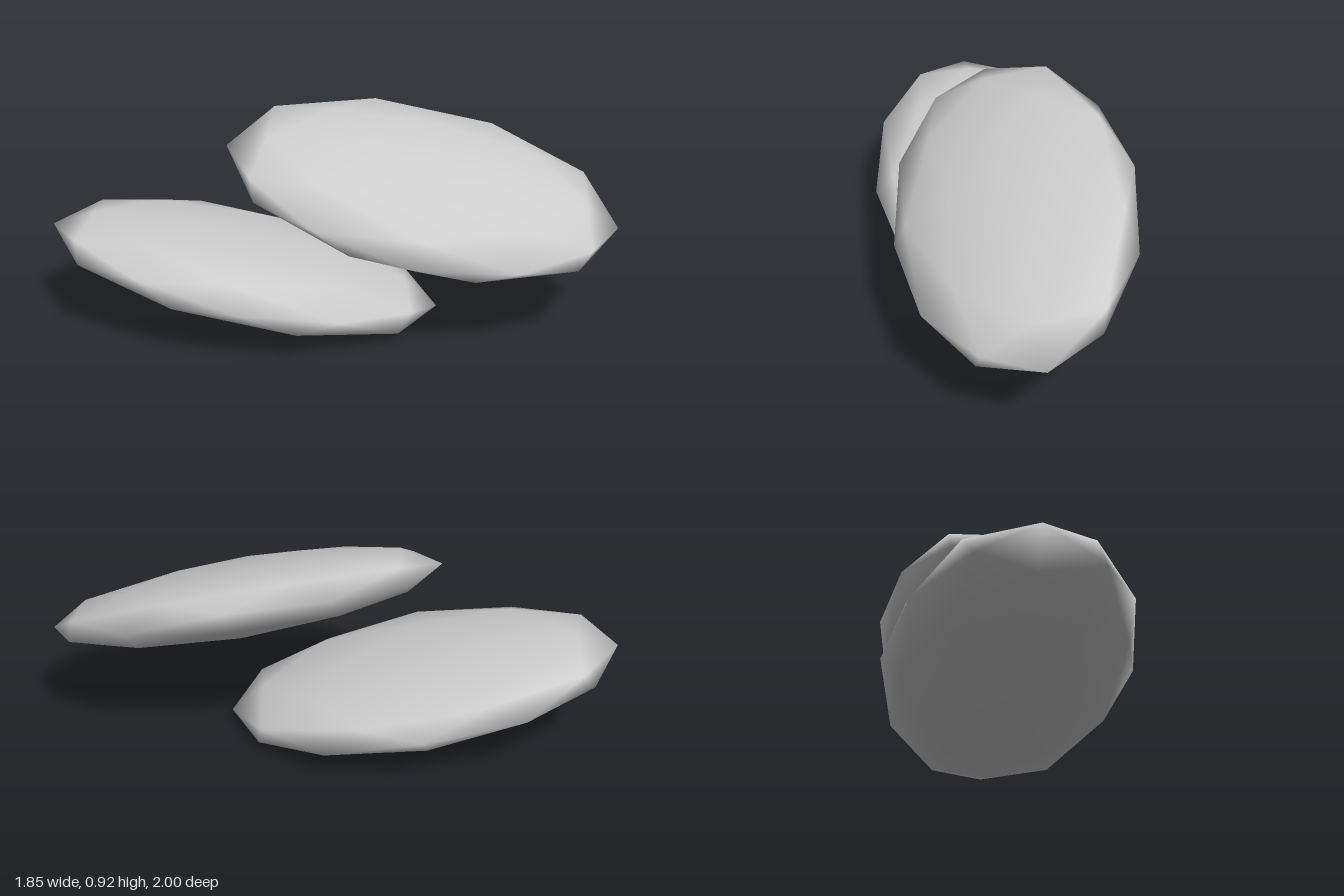
import * as THREE from 'three';

const stone = new THREE.MeshStandardMaterial({ color: 0xcccccc });
stone.name = 'palegrey';

// Half sizes along the long, middle and thin axes
const SIZE = [0.875, 0.528, 0.165];

// A smooth, low-poly flattened ellipsoid, given its long axis and its flat face's normal
function pebble(name, centre, longAxis, faceNormal) {
  const geometry = new THREE.IcosahedronGeometry(1, 1);
  geometry.rotateX(-Math.atan((1 + Math.sqrt(5)) / 2)); // stand it on a corner

  const long = new THREE.Vector3(...longAxis).normalize();
  const middle = new THREE.Vector3(...faceNormal).cross(long).normalize();
  const thin = new THREE.Vector3().crossVectors(long, middle);

  const placement = new THREE.Matrix4()
    .makeBasis(long.negate(), middle, thin.negate())
    .scale(new THREE.Vector3(...SIZE))
    .setPosition(...centre);
  geometry.applyMatrix4(placement); // carries the smooth normals along

  const mesh = new THREE.Mesh(geometry, stone);
  mesh.name = name;
  return mesh;
}

export function createModel() {
  const model = new THREE.Group();
  model.name = 'pebblePair';
  model.add(
    pebble('upperPebble', [0.255, 0.633, 0.303], [0.645, -0.205, 0.736], [-0.128, 0.922, 0.366]),
    pebble('lowerPebble', [-0.258, 0.241, -0.29], [0.65, -0.215, 0.729], [0.163, 0.973, 0.16]),
  );
  return model;
}
